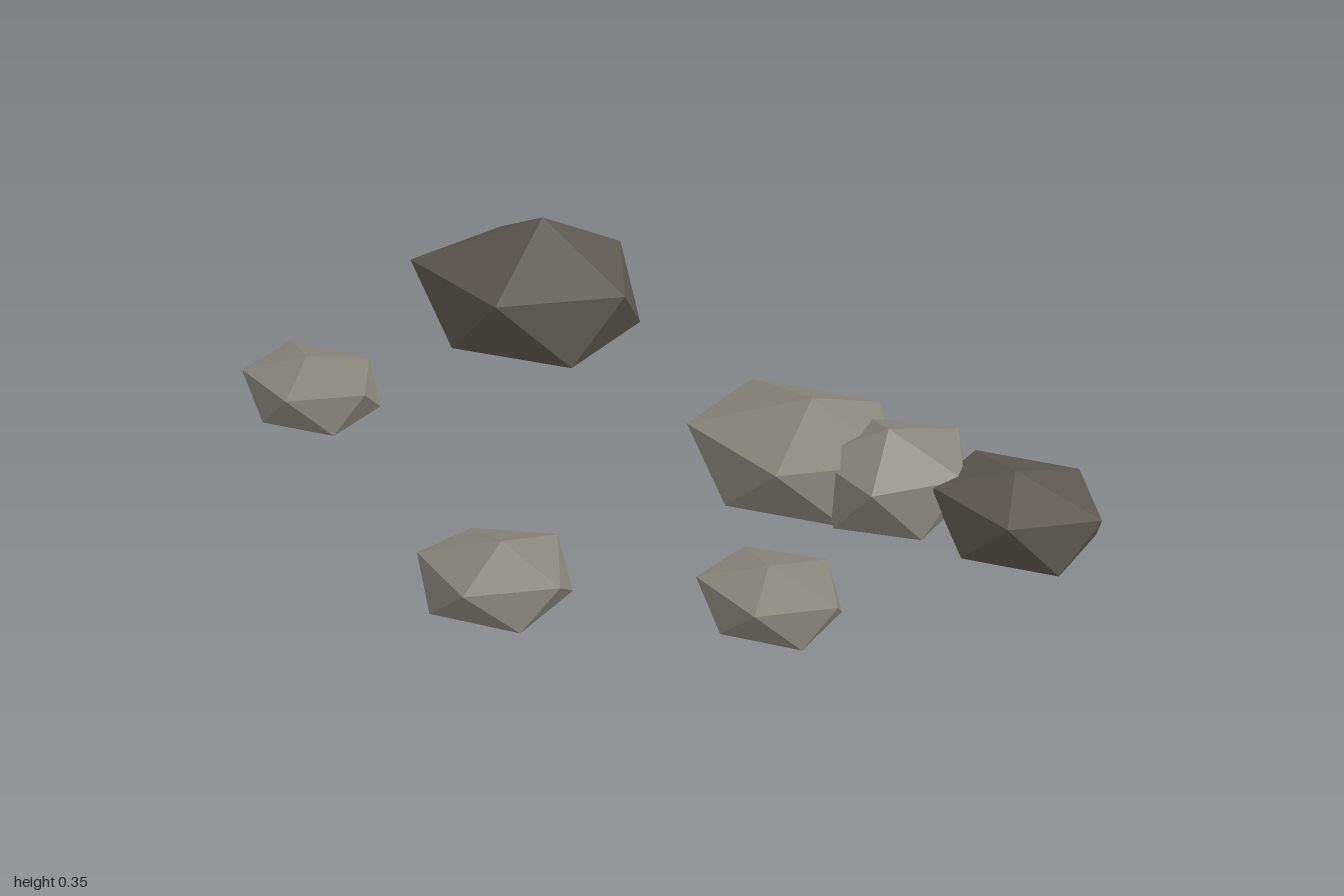
import * as THREE from 'three';

const darkStone = new THREE.MeshStandardMaterial({ color: 0x5b5650 });
darkStone.name = 'darkStone';
const paleStone = new THREE.MeshStandardMaterial({ color: 0x88857c });
paleStone.name = 'paleStone';

// A faceted twenty-sided stone: a peak, two staggered five-cornered rings and a base.
// center, radius and peak are [x, z], peak being an offset in radii;
// heights are base, lower ring, upper ring and peak; corners stretch the two upper -x corners.
function stone(name, material, { center, radius, heights, peak, corners }) {
  const [yBase, yLower, yUpper, yPeak] = heights;
  const at = (x, y, z) => [center[0] + radius[0] * x, y, center[1] + radius[1] * z];
  const ring = (degrees, reach, y) => degrees.map((deg, i) => {
    const a = THREE.MathUtils.degToRad(deg);
    return at(reach[i] * Math.cos(a), y, reach[i] * Math.sin(a));
  });

  const top = at(peak[0], yPeak, peak[1]);
  const bottom = at(0, yBase, 0);
  const u = ring([213, 287, 362, 437, 505], [corners[0], 1.03, 1, 1.02, corners[1]], yUpper);
  const l = ring([249, 318, 397, 468, 534], [1.02, 0.98, 0.95, 1.02, 1], yLower);

  const points = [];
  for (let i = 0; i < 5; i++) {
    const j = (i + 1) % 5;
    points.push(top, u[j], u[i], u[i], u[j], l[i], u[j], l[j], l[i], l[i], l[j], bottom);
  }
  // Unshared corners keep every facet flat
  const geometry = new THREE.BufferGeometry();
  geometry.setAttribute('position', new THREE.Float32BufferAttribute(points.flat(), 3));
  geometry.computeVertexNormals();
  const mesh = new THREE.Mesh(geometry, material);
  mesh.name = name;
  return mesh;
}

export function createModel() {
  const group = new THREE.Group();
  group.name = 'scatteredStones';

  // Boulder standing apart at the back
  group.add(stone('largeBoulder', darkStone, {
    center: [-0.705, -0.48], radius: [0.295, 0.25], heights: [0, 0.06, 0.23, 0.355],
    peak: [0, -0.12], corners: [0.92, 1.19],
  }));

  // Three stones grown into one another
  group.add(stone('clusterLargeStone', paleStone, {
    center: [0.295, -0.21], radius: [0.245, 0.21], heights: [0.035, 0.085, 0.215, 0.285],
    peak: [0, -0.12], corners: [1.1, 1.15],
  }));
  group.add(stone('clusterMiddleStone', paleStone, {
    center: [0.52, -0.245], radius: [0.168, 0.185], heights: [0.05, 0.09, 0.21, 0.28],
    peak: [-0.12, 0.1], corners: [1.03, 1.12],
  }));
  group.add(stone('clusterDarkStone', darkStone, {
    center: [0.81, -0.282], radius: [0.187, 0.158], heights: [0.05, 0.09, 0.205, 0.25],
    peak: [-0.13, 0.01], corners: [1.06, 1.12],
  }));

  // Loose small stones along the front
  group.add(stone('frontStone', paleStone, {
    center: [0.035, 0.58], radius: [0.18, 0.147], heights: [0.07, 0.11, 0.195, 0.245],
    peak: [0.13, 0], corners: [0.72, 0.95],
  }));
  group.add(stone('rightSmallStone', paleStone, {
    center: [-0.803, 0.245], radius: [0.168, 0.137], heights: [0.05, 0.11, 0.2, 0.245],
    peak: [-0.1, 0.04], corners: [1.19, 1.13],
  }));
  group.add(stone('leftSmallStone', paleStone, {
    center: [0.548, 0.3], radius: [0.152, 0.13], heights: [0.075, 0.11, 0.19, 0.225],
    peak: [-0.09, 0.04], corners: [0.95, 1.12],
  }));

  return group;
}
